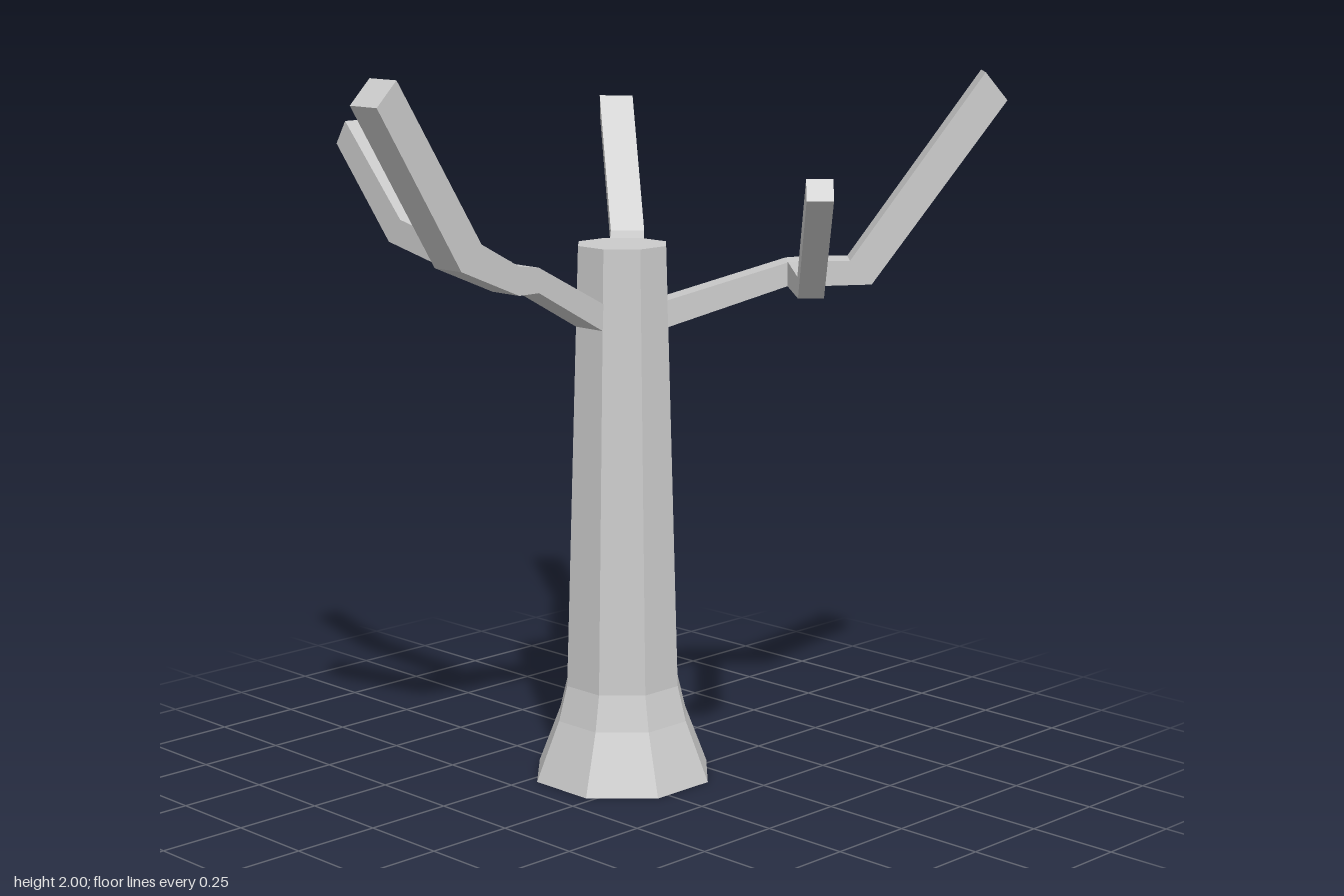
import * as THREE from 'three';

const material = new THREE.MeshStandardMaterial({ color: 0xcccccc, flatShading: true });
const openMaterial = material.clone();
openMaterial.side = THREE.DoubleSide;

// Square-section limb growing from (x, z) in compass direction `angle`.
// Each station: [reach of top edge, its y, reach of bottom edge, its y, sideways shift]
function limb(name, x, z, angle, width, stations) {
  const sin = Math.sin(angle), cos = Math.cos(angle);
  const at = (reach, y, side) => [x + sin * reach + cos * side, y, z + cos * reach - sin * side];
  const positions = [], index = [];
  for (const [topR, topY, botR, botY, shift = 0] of stations) {
    const right = shift + width / 2, left = shift - width / 2;
    positions.push(
      ...at(topR, topY, right), ...at(topR, topY, left),
      ...at(botR, botY, left), ...at(botR, botY, right));
  }
  const last = (stations.length - 1) * 4;
  for (let k = 0; k < last; k += 4) {
    for (let j = 0; j < 4; j++) {
      const a = k + j, b = k + (j + 1) % 4;
      index.push(a, b, b + 4, a, b + 4, a + 4);
    }
  }
  index.push(last, last + 1, last + 2, last, last + 2, last + 3); // sawn tip
  const indexed = new THREE.BufferGeometry();
  indexed.setAttribute('position', new THREE.Float32BufferAttribute(positions, 3));
  indexed.setIndex(index);
  const geometry = indexed.toNonIndexed();
  geometry.computeVertexNormals();
  const mesh = new THREE.Mesh(geometry, material);
  mesh.name = name;
  return mesh;
}

export function createModel() {
  const tree = new THREE.Group();
  tree.name = 'bareTree';
  const cx = -0.12, cz = -0.06;

  // Octagonal trunk with flared, open foot; profile is [distance to flat side, y]
  const profile = [[0.24, 0], [0.178, 0.17], [0.155, 0.27], [0.12, 1.51], [0, 1.51]]
    .map(([r, y]) => new THREE.Vector2(r / Math.cos(Math.PI / 8), y));
  const trunk = new THREE.Mesh(new THREE.LatheGeometry(profile, 8, Math.PI / 8), openMaterial);
  trunk.name = 'trunk';
  trunk.position.set(cx, 0, cz);
  tree.add(trunk);

  // Main branches, each leaving one flat side of the trunk
  const root = [0.12, 1.36, 0.12, 1.285];
  tree.add(
    limb('frontBranch', cx, cz, 0, 0.105, [
      root, [0.36, 1.485, 0.36, 1.417], [0.43, 1.495, 0.43, 1.417],
      [0.56, 1.565, 0.63, 1.5], [0.835, 2, 0.9, 1.935]]),
    limb('backLeftBranch', cx, cz, Math.PI * 0.75, 0.105, [
      root, [0.45, 1.465, 0.45, 1.4], [0.517, 1.47, 0.517, 1.4],
      [0.62, 1.47, 0.68, 1.405], [0.976, 1.98, 1.036, 1.905]]),
    limb('backRightBranch', cx, cz, -Math.PI * 0.75, 0.1, [
      root, [0.707, 1.455, 0.75, 1.385, -0.01], [0.94, 1.84, 0.994, 1.77, 0.026]]));

  // Thinner side branches forking off two of the main ones
  tree.add(
    limb('frontSideBranch', cx, 0.335, -Math.PI / 2, 0.066, [
      [0.05, 1.49, 0.05, 1.417], [0.43, 1.575, 0.48, 1.51], [0.66, 1.83, 0.7, 1.765]]),
    limb('backLeftSideBranch', 0.222, -0.402, Math.PI / 4, 0.066, [
      [0.05, 1.467, 0.05, 1.4], [0.525, 1.495, 0.565, 1.445], [0.851, 1.78, 0.884, 1.73]]));

  return tree;
}
